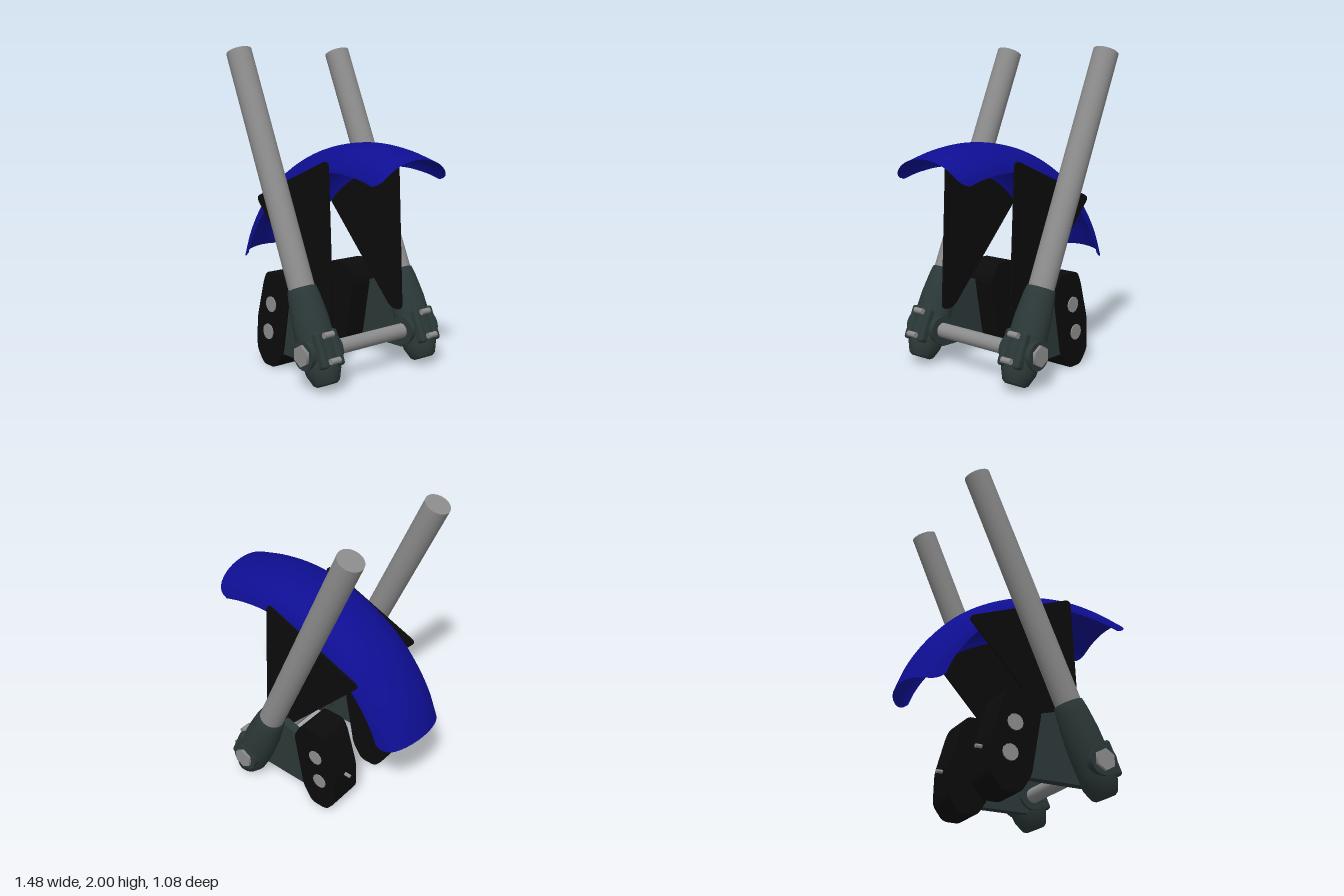
import * as THREE from 'three';
import { ParametricGeometry } from 'three/addons/geometries/ParametricGeometry.js';
import { RoundedBoxGeometry } from 'three/addons/geometries/RoundedBoxGeometry.js';

const material = (name, color, extra = {}) => {
  const m = new THREE.MeshStandardMaterial({ color, ...extra });
  m.name = name;
  return m;
};

export function createModel() {
  const steel = material('steel', 0x8c8c8c);
  const darkMetal = material('dark metal', 0x2b3837);
  const black = material('black', 0x0b0b0b);
  const blue = material('blue', 0x0e0e92, { side: THREE.DoubleSide });

  const model = new THREE.Group();
  model.name = 'forkAssembly';

  const add = (parent, name, geometry, mat, x = 0, y = 0, z = 0) => {
    const mesh = new THREE.Mesh(geometry, mat);
    mesh.name = name;
    mesh.position.set(x, y, z);
    parent.add(mesh);
    return mesh;
  };
  // cylinder lying along z
  const pin = (r, length, sides = 24) => new THREE.CylinderGeometry(r, r, length, sides).rotateX(Math.PI / 2);
  // flat outline given thickness along z, centred on z = 0
  const plate = (shape, depth) =>
    new THREE.ExtrudeGeometry(shape, { depth, bevelEnabled: false, curveSegments: 8 }).translate(0, 0, -depth / 2);
  // polygon with rounded corners
  const roundedShape = (points, r) => {
    const pts = points.map(([x, y]) => new THREE.Vector2(x, y));
    const shape = new THREE.Shape();
    pts.forEach((p, i) => {
      const towards = (q) => p.clone().add(q.clone().sub(p).setLength(r));
      const a = towards(pts[(i + pts.length - 1) % pts.length]);
      const b = towards(pts[(i + 1) % pts.length]);
      if (i === 0) shape.moveTo(a.x, a.y);
      else shape.lineTo(a.x, a.y);
      shape.quadraticCurveTo(p.x, p.y, b.x, b.y);
    });
    shape.closePath();
    return shape;
  };

  // Fender: arched cross-section swept along the crown, with rounded end corners
  const crown = new THREE.CatmullRomCurve3([
    [-0.74, 0.66], [-0.67, 0.83], [-0.56, 1.0], [-0.4, 1.17], [-0.2, 1.3],
    [0.03, 1.39], [0.3, 1.43], [0.54, 1.41], [0.74, 1.36],
  ].map(([x, y]) => new THREE.Vector3(x, y, 0)));
  const fender = new ParametricGeometry((u, v, target) => {
    const t = v * 2 - 1;
    const along = 0.5 + (u - 0.5) * (1 - 0.07 * Math.pow(Math.abs(t), 10));
    const p = crown.getPointAt(along);
    const d = crown.getTangentAt(along);
    const drop = 0.165 * Math.pow(Math.abs(t), 2);
    target.set(p.x + d.y * drop, p.y - d.x * drop, 0.272 * Math.sin(t * 1.35) / Math.sin(1.35));
  }, 48, 32);
  add(model, 'fender', fender, blue);

  // Axle between the legs
  add(model, 'axle', pin(0.047, 0.64), steel, 0.32, 0.22, 0);

  const sidePlate = roundedShape([[-0.44, 1.05], [0.27, 1.34], [0.315, 0.35], [0.22, 0.35]], 0.045);
  const caliperShape = roundedShape([
    [-0.22, 0.61], [-0.06, 0.61], [0, 0.5], [-0.07, 0.11], [-0.14, 0],
    [-0.26, 0], [-0.33, 0.09], [-0.325, 0.29], [-0.255, 0.54],
  ], 0.035);
  const bracketShape = new THREE.Shape([
    [-0.06, 0.48], [0.02, 0.5], [0.12, 0.53], [0.3, 0.3], [0.3, 0.105], [-0.12, 0.1],
  ].map(([x, y]) => new THREE.Vector2(x, y)));
  const legProfile = [
    [0, -0.2], [0.06, -0.2], [0.08, -0.185], [0.106, -0.12], [0.113, -0.05],
    [0.116, 0.08], [0.112, 0.2], [0.098, 0.33], [0.088, 0.385], [0.078, 0.39], [0, 0.39],
  ].map(([r, y]) => new THREE.Vector2(r, y));

  for (const s of [1, -1]) {
    const side = s > 0 ? 'front' : 'back';

    // Fork leg, tilted about the axle
    const leg = new THREE.Group();
    leg.name = side + 'ForkLeg';
    leg.position.set(0.32, 0.22, s * 0.4);
    leg.rotation.z = 0.417;
    model.add(leg);
    add(leg, 'forkTube', new THREE.CylinderGeometry(0.08, 0.08, 1.613, 40), steel, 0, 1.1065, 0);
    add(leg, 'lowerLeg', new THREE.LatheGeometry(legProfile, 40), darkMetal);
    add(leg, 'axleBoss', pin(0.09, 0.238, 32), darkMetal);

    // Clamp lugs and the pinch bolts between them
    for (const k of [1, -1]) {
      add(leg, 'clampLug', new RoundedBoxGeometry(0.1, 0.22, 0.05, 3, 0.02), darkMetal, 0.075, 0, k * 0.058);
      add(leg, 'pinchBolt', pin(0.018, 0.07, 16), steel, 0.132, k * 0.077, 0);
    }

    // Axle nut on the outer face
    add(model, side + 'AxleNut', pin(0.066, 0.04, 6), steel, 0.32, 0.22, s * 0.518);

    // Fender side plate
    add(model, side + 'SidePlate', plate(sidePlate, 0.014), black, 0, 0, s * 0.286);

    // Brake caliper with its bracket, bolts and bleed nipple
    add(model, side + 'CaliperBracket', plate(bracketShape, 0.06), darkMetal, 0, 0, s * 0.33);
    add(model, side + 'Caliper', plate(caliperShape, 0.225), black, 0, 0, s * 0.2625);
    for (const [x, y] of [[-0.175, 0.405], [-0.207, 0.222]]) {
      add(model, side + 'CaliperBolt', pin(0.05, 0.03, 12), steel, x, y, s * 0.367);
    }
    const nipple = new THREE.CylinderGeometry(0.012, 0.012, 0.06, 12).rotateZ(Math.PI / 2);
    add(model, side + 'BleedNipple', nipple, steel, -0.335, 0.27, s * 0.26);
  }

  return model;
}
